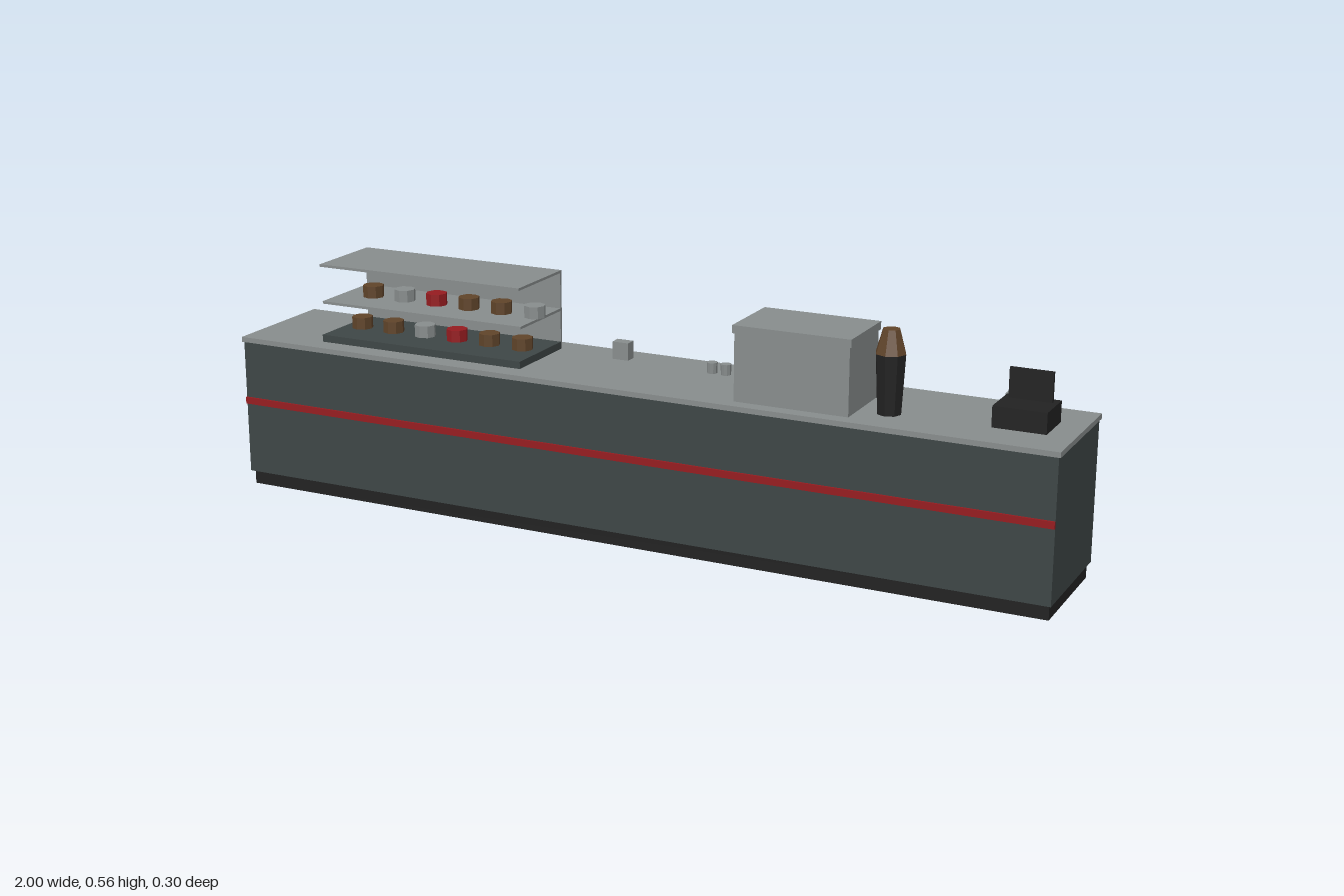
import * as THREE from 'three';

const mat = (name, color, flatShading = false) => {
  const m = new THREE.MeshStandardMaterial({ color });
  m.name = name;
  m.flatShading = flatShading;
  return m;
};

export function createModel() {
  const steel = mat('steel grey', 0x888d8d, true);
  const panel = mat('slate panel', 0x3e4646, true);
  const black = mat('black plastic', 0x222222, true);
  const brown = mat('brown', 0x60442a, true);
  const red = mat('red', 0x961c20, true);

  const model = new THREE.Group();
  model.name = 'cafeCounter';

  const group = (name) => {
    const g = new THREE.Group();
    g.name = name;
    model.add(g);
    return g;
  };
  const add = (parent, name, geometry, material) => {
    const mesh = new THREE.Mesh(geometry, material);
    mesh.name = name;
    parent.add(mesh);
    return mesh;
  };
  // Box given by its limits on each axis
  const box = (parent, name, material, [x0, x1], [y0, y1], [z0, z1]) => {
    const mesh = add(parent, name, new THREE.BoxGeometry(x1 - x0, y1 - y0, z1 - z0), material);
    mesh.position.set((x0 + x1) / 2, (y0 + y1) / 2, (z0 + z1) / 2);
    return mesh;
  };
  // Upright cylinder or cone standing on y
  const drum = (parent, name, material, rTop, rBottom, height, sides, x, y, z) => {
    const mesh = add(parent, name, new THREE.CylinderGeometry(rTop, rBottom, height, sides), material);
    mesh.position.set(x, y + height / 2, z);
    return mesh;
  };

  // Counter
  const top = 0.368;
  const counter = group('counter');
  box(counter, 'plinth', black, [-0.99, 0.99], [0, 0.034], [-0.137, 0.137]);
  box(counter, 'body', panel, [-0.996, 0.996], [0.034, 0.356], [-0.147, 0.147]);
  box(counter, 'worktop', steel, [-1, 1], [0.356, top], [-0.15, 0.15]);
  box(counter, 'stripe', red, [-0.996, 0.996], [0.204, 0.22], [0.147, 0.152]);

  // Pastry display with two rows of pastries
  const display = group('pastryDisplay');
  const span = [-0.803, -0.27];
  box(display, 'displayTray', panel, span, [top, 0.385], [-0.094, 0.1]);
  box(display, 'displayShelf', steel, span, [0.459, 0.465], [-0.094, 0.094]);
  box(display, 'displayRoof', steel, span, [0.549, 0.555], [-0.1, 0.1]);
  box(display, 'displayBack', steel, span, [top, 0.549], [-0.1, -0.094]);
  const rows = [
    { x: -0.756, y: 0.385, colors: [brown, brown, steel, red, brown, brown] },
    { x: -0.722, y: 0.465, colors: [brown, steel, red, brown, brown, steel] },
  ];
  for (const row of rows) {
    row.colors.forEach((m, i) =>
      drum(display, 'pastry', m, 0.025, 0.025, 0.028, 8, row.x + i * 0.0873, row.y, 0));
  }

  // Napkin holders
  for (const x of [-0.103, 0.832]) {
    box(model, 'napkinHolder', steel, [x - 0.02, x + 0.02], [top, 0.409], [-0.098, -0.071]);
  }

  // Cups
  const cups = group('cups');
  for (let i = 0; i < 4; i++) {
    drum(cups, 'cup', steel, 0.0125, 0.0115, 0.025, 10, 0.131 + i * 0.034, top, -0.067);
  }

  // Coffee machine, with its handles on the staff side
  const machine = group('coffeeMachine');
  box(machine, 'machineBody', steel, [0.267, 0.531], [top, 0.52], [-0.05, 0.117]);
  box(machine, 'machineLid', steel, [0.263, 0.535], [0.52, 0.538], [-0.053, 0.12]);
  for (const x of [0.331, 0.465]) {
    box(machine, 'brewHandle', black, [x - 0.013, x + 0.013], [0.436, 0.468], [-0.09, -0.05]);
  }

  // Grinder
  const grinder = group('grinder');
  drum(grinder, 'grinderBody', black, 0.034, 0.027, 0.132, 8, 0.597, top, 0.05);
  drum(grinder, 'beanHopper', brown, 0.019, 0.034, 0.053, 8, 0.597, 0.5, 0.05);

  // Cash register
  const register = group('cashRegister');
  box(register, 'registerBase', black, [0.822, 0.94], [top, 0.415], [-0.05, 0.05]);
  box(register, 'registerScreen', black, [0.833, 0.928], [0.415, 0.481], [-0.031, -0.023]);

  return model;
}
